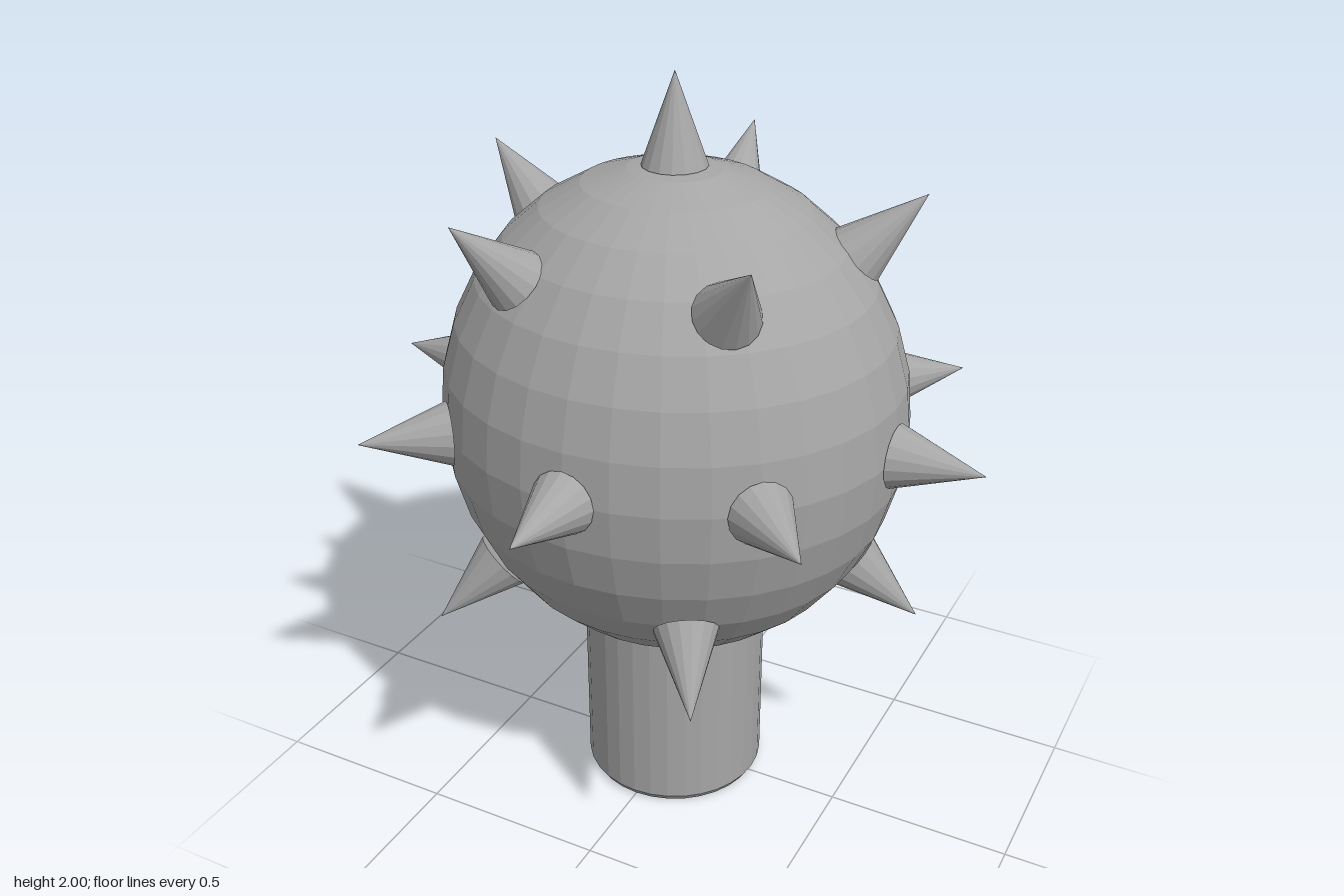
import * as THREE from 'three';

export function createModel() {
  const model = new THREE.Group();
  model.name = 'spikedMace';
  const steel = new THREE.MeshStandardMaterial({ color: 0xa6a6a6, flatShading: true });
  steel.name = 'steel grey';

  const centreY = 1.125;
  const radii = new THREE.Vector3(0.615, 0.655, 0.575);

  // Slightly flattened ball
  const ball = new THREE.Mesh(new THREE.SphereGeometry(1, 32, 16).scale(radii.x, radii.y, radii.z), steel);
  ball.name = 'ball';
  ball.position.y = centreY;
  model.add(ball);

  // Hollow socket: outer wall, bevelled rim and bore
  const profile = [[0.165, 0.56], [0.165, 0], [0.237, 0], [0.248, 0.018], [0.248, 0.56]]
    .map(([r, y]) => new THREE.Vector2(r, y));
  const socket = new THREE.Mesh(new THREE.LatheGeometry(profile, 32), steel);
  socket.name = 'socket';
  model.add(socket);

  // Spikes point straight out from the ball's centre
  const height = 0.23;
  const spikeGeometry = new THREE.ConeGeometry(0.083, height, 16).translate(0, height / 2, 0);
  const up = new THREE.Vector3(0, 1, 0);
  function addSpike(name, x, y, z) {
    const surface = new THREE.Vector3(x, y, z).normalize().multiply(radii);
    const direction = surface.clone().normalize();
    const spike = new THREE.Mesh(spikeGeometry, steel);
    spike.name = name;
    spike.position.copy(surface).addScaledVector(direction, -0.006);
    spike.position.y += centreY;
    spike.quaternion.setFromUnitVectors(up, direction);
    model.add(spike);
  }
  function addRing(name, count, startDegrees, elevation) {
    for (let i = 0; i < count; i++) {
      const a = THREE.MathUtils.degToRad(startDegrees + i * 360 / count);
      const c = Math.cos(elevation);
      addSpike(name + (i + 1), Math.cos(a) * c, Math.sin(elevation), Math.sin(a) * c);
    }
  }
  addSpike('topSpike', 0, 1, 0);
  addRing('upperSpike', 5, 49, 0.735);
  addRing('middleSpike', 8, 0, 0);
  addRing('lowerSpike', 5, 61, -0.635);

  return model;
}
